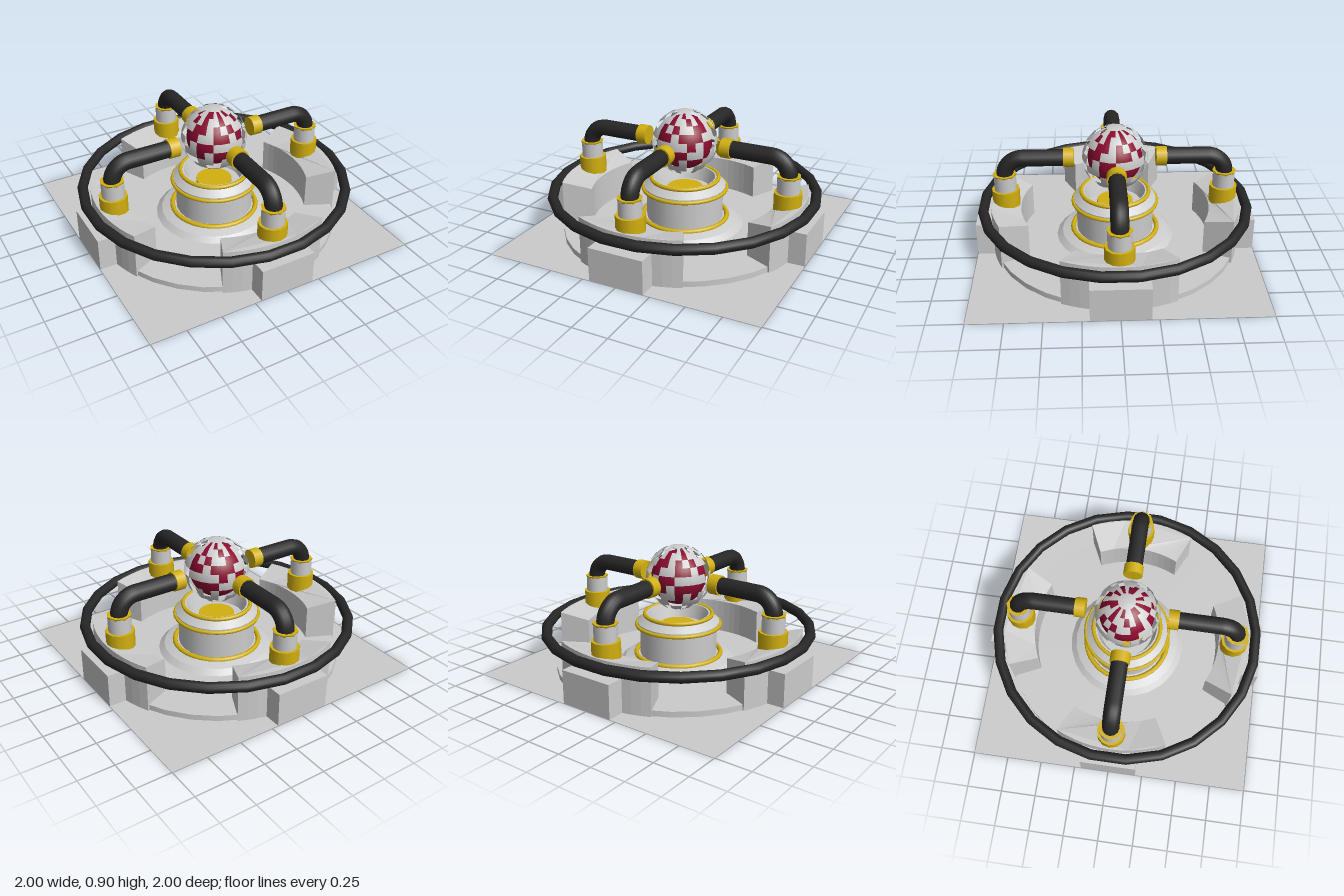
import * as THREE from 'three';

const paint = (color) => new THREE.MeshStandardMaterial({ color, side: THREE.DoubleSide });
const grey = paint(0xcccccc);
const yellow = paint(0xd2b010);
const black = paint(0x262626);
const crimson = paint(0x8c0c30);

function add(parent, name, geometry, material, x = 0, y = 0, z = 0) {
  const mesh = new THREE.Mesh(geometry, material);
  mesh.name = name;
  mesh.position.set(x, y, z);
  parent.add(mesh);
  return mesh;
}

// Surface of revolution with sharp corners: one band per profile segment
function lathe(parent, name, profile, material, sides = 24) {
  const group = new THREE.Group();
  group.name = name;
  for (let i = 0; i < profile.length - 1; i++) {
    const pts = [profile[i], profile[i + 1]].map(([r, y]) => new THREE.Vector2(r, y));
    add(group, name + 'Band', new THREE.LatheGeometry(pts, sides), material);
  }
  parent.add(group);
}

function flatRing(parent, name, radius, tube, y) {
  const g = new THREE.TorusGeometry(radius, tube, 8, 32).rotateX(Math.PI / 2);
  add(parent, name, g, yellow, 0, y, 0);
}

// Curved pier under each pipe, its top sloping down towards the middle
function pierGeometry() {
  const inner = 0.685, outer = 0.9, half = 0.445;
  const shape = new THREE.Shape();
  shape.absarc(0, 0, outer, -half, half, false);
  shape.absarc(0, 0, inner, half, -half, true);
  const g = new THREE.ExtrudeGeometry(shape, { depth: 0.34, bevelEnabled: false, curveSegments: 6 });
  g.rotateX(-Math.PI / 2);
  const p = g.attributes.position;
  for (let i = 0; i < p.count; i++) {
    if (p.getY(i) < 0.1) continue;
    const t = (Math.hypot(p.getX(i), p.getZ(i)) - inner) / (outer - inner);
    p.setY(i, 0.29 + 0.05 * t);
  }
  g.computeVertexNormals();
  return g;
}

// Pierced sphere shell: '.' marks an open cell, rows run from top to bottom
function cageGeometry(radius) {
  const rows = ['########', '#.##..#.', '##.#.##.', '.##..#.#', '#...##..', '##.#..##',
    '..##.#..', '.#..##.#', '##.##..#', '#..#.##.', '.##..#.#', '########'];
  const cols = 24, pos = [], nor = [], index = [];
  const point = (row, col) => new THREE.Vector3().setFromSphericalCoords(
    1, Math.PI * row / rows.length, 2 * Math.PI * col / cols);
  rows.forEach((row, r) => {
    for (let c = 0; c < cols; c++) {
      if (row[c % row.length] === '.') continue;
      const base = pos.length / 3;
      for (const [dr, dc] of [[0, 0], [1, 0], [1, 1], [0, 1]]) {
        const v = point(r + dr, c + dc);
        nor.push(v.x, v.y, v.z);
        pos.push(v.x * radius, v.y * radius, v.z * radius);
      }
      index.push(base, base + 1, base + 2, base, base + 2, base + 3);
    }
  });
  const g = new THREE.BufferGeometry();
  g.setAttribute('position', new THREE.Float32BufferAttribute(pos, 3));
  g.setAttribute('normal', new THREE.Float32BufferAttribute(nor, 3));
  g.setIndex(index);
  return g;
}

// One side of the machine, along +x: buttress, pier, socket and bent pipe
function createArm() {
  const arm = new THREE.Group();
  const x = 0.79;
  add(arm, 'pier', pierGeometry(), grey);
  add(arm, 'buttress', new THREE.BoxGeometry(0.2, 0.24, 0.4), grey, 0.9, 0.12, 0);
  add(arm, 'socketCollar', new THREE.CylinderGeometry(0.1, 0.1, 0.13, 12), yellow, x, 0.365, 0);
  add(arm, 'socket', new THREE.CylinderGeometry(0.08, 0.08, 0.12, 16), grey, x, 0.48, 0);
  add(arm, 'socketRim', new THREE.CylinderGeometry(0.086, 0.08, 0.016, 8), yellow, x, 0.542, 0);

  const path = new THREE.CurvePath();
  const v = (px, py) => new THREE.Vector3(px, py, 0);
  const bend = 0.13, c = 0.552 * bend;
  path.add(new THREE.LineCurve3(v(x, 0.5), v(x, 0.67 - bend)));
  path.add(new THREE.CubicBezierCurve3(v(x, 0.67 - bend), v(x, 0.67 - bend + c),
    v(x - bend + c, 0.67), v(x - bend, 0.67)));
  path.add(new THREE.LineCurve3(v(x - bend, 0.67), v(0.31, 0.67)));
  add(arm, 'pipe', new THREE.TubeGeometry(path, 32, 0.06, 12), black);

  const sleeve = new THREE.CylinderGeometry(0.07, 0.07, 0.075, 16).rotateZ(Math.PI / 2);
  add(arm, 'pipeSleeve', sleeve, yellow, 0.33, 0.67, 0);
  return arm;
}

export function createModel() {
  const model = new THREE.Group();
  model.name = 'orbReactor';

  // Ground plate and round base
  add(model, 'floorPlate', new THREE.PlaneGeometry(2, 2).rotateX(-Math.PI / 2), grey);
  lathe(model, 'baseDisc', [[0.89, 0], [0.89, 0.04], [0, 0.04]], grey, 32);

  // Central pedestal with a hollow cup
  lathe(model, 'pedestal', [[0.43, 0.04], [0.39, 0.075], [0.33, 0.095], [0.28, 0.1], [0.28, 0.3],
    [0.3, 0.31], [0.3, 0.34], [0.25, 0.38], [0.25, 0.4], [0.22, 0.4], [0.19, 0.3], [0, 0.3]], grey);
  flatRing(model, 'pedestalFootRing', 0.31, 0.018, 0.1);
  flatRing(model, 'pedestalShoulderRing', 0.305, 0.014, 0.32);
  flatRing(model, 'pedestalTopRing', 0.245, 0.015, 0.395);
  add(model, 'cupPad', new THREE.CylinderGeometry(0.13, 0.13, 0.02, 24), yellow, 0, 0.31, 0);

  // Four identical arms around the middle
  for (let i = 0; i < 4; i++) {
    const arm = createArm();
    arm.name = 'arm' + (i + 1);
    arm.rotation.y = i * Math.PI / 2;
    model.add(arm);
  }

  // Outer hoop
  const hoop = new THREE.TorusGeometry(0.957, 0.037, 12, 24);
  hoop.rotateZ(Math.PI / 24).rotateX(Math.PI / 2);
  add(model, 'outerHoop', hoop, black, 0, 0.305, 0);

  // Floating core inside its pierced shell
  add(model, 'core', new THREE.SphereGeometry(0.195, 32, 20), crimson, 0, 0.67, 0);
  add(model, 'coreCage', cageGeometry(0.235), grey, 0, 0.67, 0);
  return model;
}
